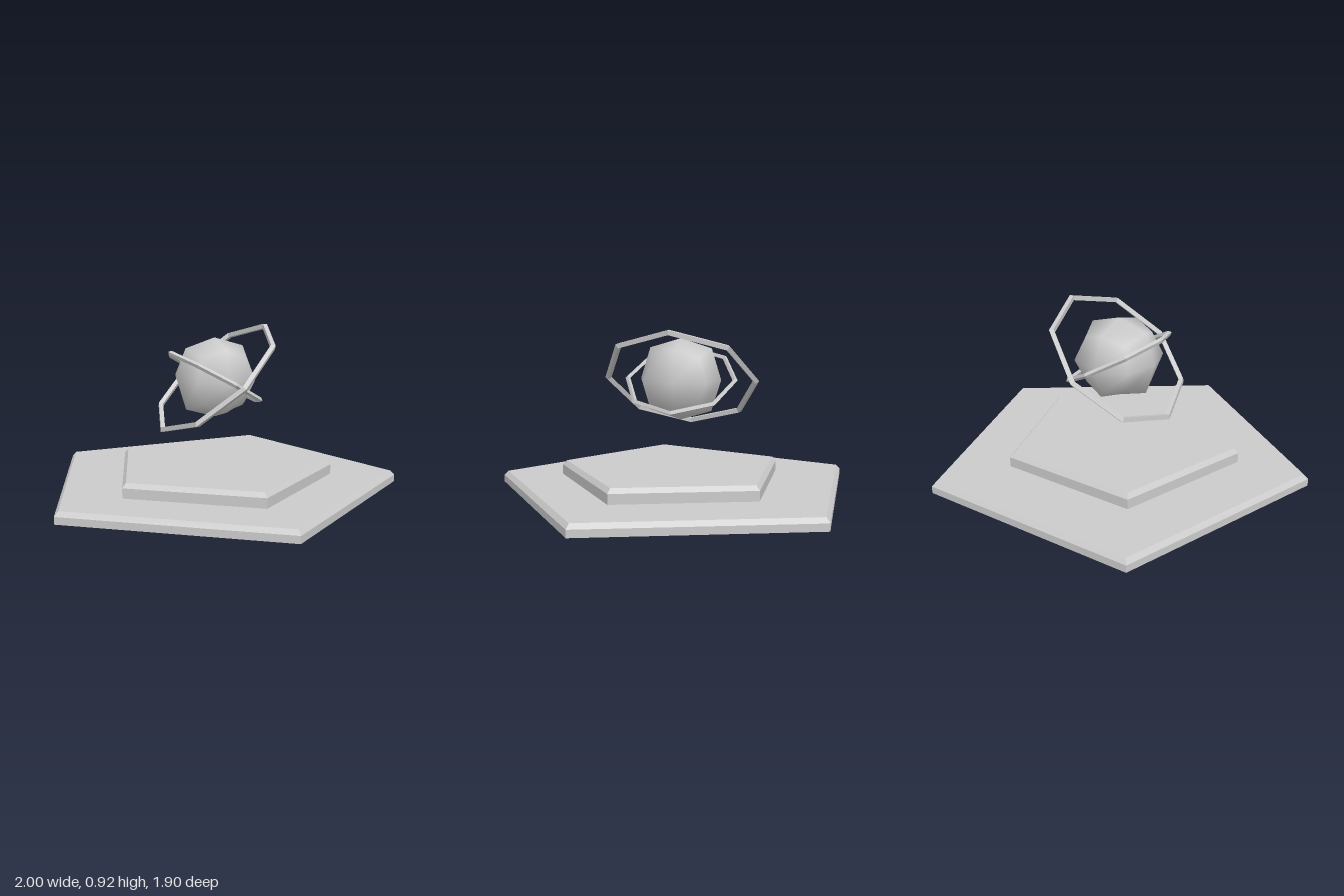
import * as THREE from 'three';
import { mergeVertices } from 'three/addons/utils/BufferGeometryUtils.js';

const CORE_Y = 0.63, CORE_Z = -0.1;

// Joins pentagon rings [radius, y, centre z] from the bottom up; a zero radius closes the top.
function pentagonLoft(rings) {
  const sides = 5, positions = [];
  const point = ([r, y, cz], i) => {
    const a = (i / sides) * Math.PI * 2;
    return [r * Math.sin(a), y, cz + r * Math.cos(a)];
  };
  for (let k = 0; k < rings.length - 1; k++) {
    const low = rings[k], high = rings[k + 1];
    for (let i = 0; i < sides; i++) {
      const a = point(low, i), b = point(low, i + 1);
      const c = point(high, i + 1), d = point(high, i);
      positions.push(...a, ...b, ...c);
      if (high[0] > 0) positions.push(...a, ...c, ...d);
    }
  }
  const geometry = new THREE.BufferGeometry();
  geometry.setAttribute('position', new THREE.Float32BufferAttribute(positions, 3));
  geometry.computeVertexNormals();
  return geometry;
}

// A cube split once and rounded: face centres, edge middles and corners each get their own reach.
function roundedCube(radius) {
  let geometry = new THREE.BoxGeometry(2, 2, 2, 2, 2, 2);
  geometry.deleteAttribute('normal');
  geometry.deleteAttribute('uv');
  geometry = mergeVertices(geometry);
  const reach = [0, 1, 0.765, 0.57];
  const p = geometry.attributes.position, v = new THREE.Vector3();
  for (let i = 0; i < p.count; i++) {
    v.fromBufferAttribute(p, i).round();
    const axes = Math.abs(v.x) + Math.abs(v.y) + Math.abs(v.z);
    v.multiplyScalar(radius * reach[axes]);
    p.setXYZ(i, v.x, v.y, v.z);
  }
  geometry.computeVertexNormals();
  return geometry;
}

export function createModel() {
  const model = new THREE.Group();
  model.name = 'floatingOrbOnPedestal';
  const flat = new THREE.MeshStandardMaterial({ color: 0xcccccc, flatShading: true });
  const shell = new THREE.MeshStandardMaterial({ color: 0xcccccc, flatShading: true, side: THREE.DoubleSide });
  const smooth = new THREE.MeshStandardMaterial({ color: 0xcccccc });

  // Stepped pedestal, hollow and open underneath
  const pedestal = new THREE.Mesh(pentagonLoft([
    [1.0515, 0, -0.1],
    [1.0515, 0.04, -0.1],
    [1.026, 0.065, -0.1],
    [0.652, 0.065, -0.062],
    [0.652, 0.12, -0.062],
    [0.627, 0.145, -0.062],
    [0, 0.145, -0.062],
  ]), shell);
  pedestal.name = 'pedestal';
  model.add(pedestal);

  // Floating orb
  const orb = new THREE.Mesh(roundedCube(0.224), smooth);
  orb.name = 'orb';
  orb.position.set(0, CORE_Y, CORE_Z);
  model.add(orb);

  // Two tilted eight-sided rings with a diamond section
  for (const [name, radius, tube, tilt] of [
    ['outerRing', 0.413, 0.018, 41.5],
    ['innerRing', 0.3, 0.014, -30],
  ]) {
    const geometry = new THREE.TorusGeometry(radius, tube, 4, 8).rotateX(Math.PI / 2);
    const ring = new THREE.Mesh(geometry, flat);
    ring.name = name;
    ring.position.set(0, CORE_Y, CORE_Z);
    ring.rotation.z = THREE.MathUtils.degToRad(tilt);
    model.add(ring);
  }
  return model;
}
